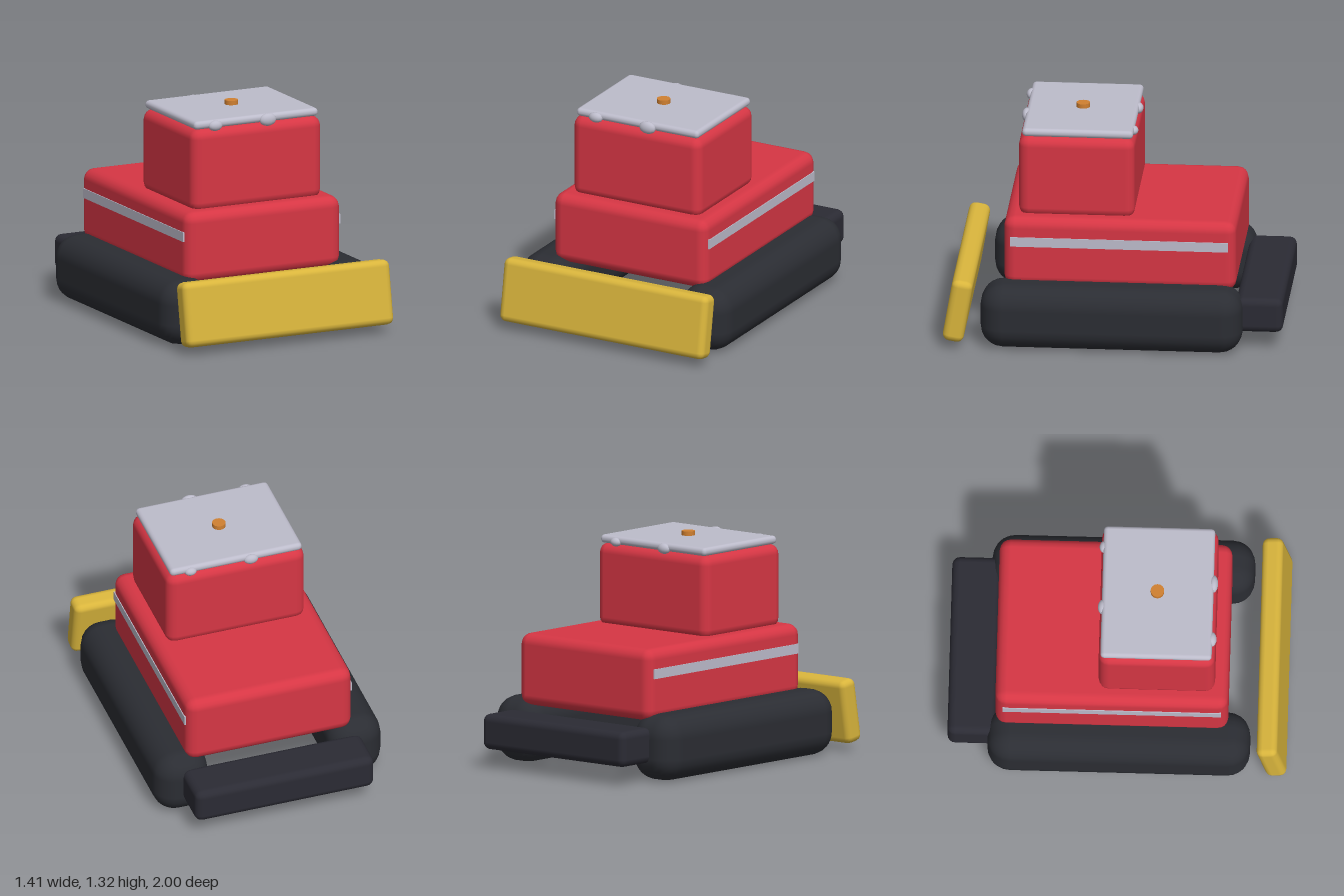
import * as THREE from 'three';
import { RoundedBoxGeometry } from 'three/addons/geometries/RoundedBoxGeometry.js';

function material(name, color) {
  const m = new THREE.MeshStandardMaterial({ color });
  m.name = name;
  return m;
}

export function createModel() {
  const model = new THREE.Group();
  model.name = 'bulldozer';

  const red = material('red paint', 0xd63644);
  const yellow = material('yellow paint', 0xd9b53c);
  const rubber = material('track rubber', 0x2b2d33);
  const iron = material('dark iron', 0x2b2b34);
  const silver = material('silver', 0xbdbccb);
  const orange = material('amber', 0xd08030);

  function add(name, geometry, mat, x, y, z) {
    const mesh = new THREE.Mesh(geometry, mat);
    mesh.name = name;
    mesh.position.set(x, y, z);
    model.add(mesh);
    return mesh;
  }

  // Rounded block given by its limits on each axis
  function block(name, mat, [x0, x1], [y0, y1], [z0, z1], radius) {
    const geometry = new RoundedBoxGeometry(x1 - x0, y1 - y0, z1 - z0, 2, radius);
    return add(name, geometry, mat, (x0 + x1) / 2, (y0 + y1) / 2, (z0 + z1) / 2);
  }

  // Hull, cab and roof
  block('body', red, [-0.515, 0.515], [0.345, 0.775], [-0.72, 0.65], 0.065);
  block('cab', red, [-0.43, 0.43], [0.75, 1.25], [-0.115, 0.57], 0.06);
  block('roof', silver, [-0.41, 0.41], [1.248, 1.298], [-0.105, 0.55], 0.024);

  // Rear counterweight
  block('counterweight', iron, [-0.555, 0.555], [0.11, 0.322], [-1, -0.72], 0.045);

  // Front blade, leaning back at the top
  const blade = add('blade', new RoundedBoxGeometry(1.37, 0.385, 0.125, 2, 0.04), yellow, 0, 0.237, 0.909);
  blade.rotation.x = -0.17;

  // Tracks and side stripes
  for (const [side, s] of [['left', 1], ['right', -1]]) {
    add(side + 'Track', new RoundedBoxGeometry(0.335, 0.39, 1.545, 3, 0.135), rubber, s * 0.5375, 0.195, 0.008);
    add(side + 'Stripe', new THREE.BoxGeometry(0.009, 0.058, 1.285), silver, s * 0.5155, 0.629, -0.033);
  }

  // Lamps along the front and rear roof edges
  const lamps = [
    ['frontLampRight', -0.275, 0.548, 0.045, 0.031],
    ['frontLampLeft', 0.072, 0.548, 0.054, 0.038],
    ['rearLampRight', -0.09, -0.1, 0.045, 0.031],
    ['rearLampLeft', 0.285, -0.1, 0.037, 0.026],
  ];
  for (const [name, x, z, rx, ry] of lamps) {
    const lamp = add(name, new THREE.SphereGeometry(1, 14, 10), silver, x, 1.264, z);
    lamp.scale.set(rx, ry, 0.028);
  }

  // Beacon
  add('beacon', new THREE.CylinderGeometry(0.04, 0.04, 0.04, 16), orange, 0, 1.304, 0.22);

  return model;
}
